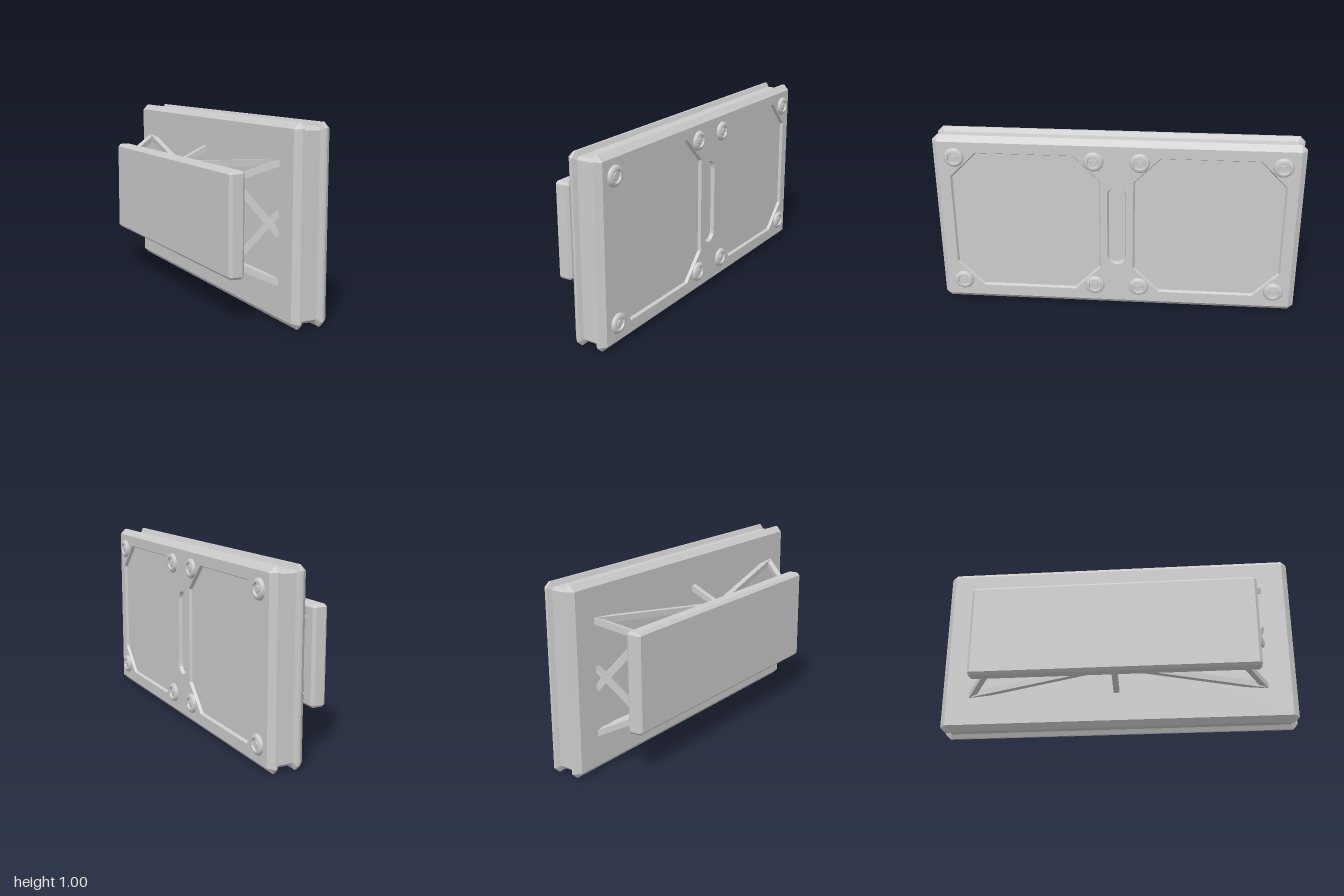
import * as THREE from 'three';
import { toCreasedNormals } from 'three/addons/utils/BufferGeometryUtils.js';

const material = new THREE.MeshStandardMaterial({ color: 0xcccccc });

// Everything is built facing local +z, then the assembly is turned to face +x.

// Chamfered rectangle, counter-clockwise
function octagon(hw, hh, cut, cx = 0, cy = 0.5) {
  const a = hw - cut, b = hh - cut;
  return [[-a, -hh], [a, -hh], [hw, -b], [hw, b], [a, hh], [-a, hh], [-hw, b], [-hw, -b]]
    .map(([x, y]) => [cx + x, cy + y]);
}

// Rounded slot, counter-clockwise
function stadium(r, hh, cy = 0.5, n = 10) {
  const pts = [];
  for (let i = 0; i < 2 * n; i++) {
    const top = i < n;
    const t = (top ? i : i - n) / (n - 1) * Math.PI + (top ? 0 : Math.PI);
    pts.push([r * Math.cos(t), cy + (top ? 1 : -1) * (hh - r) + r * Math.sin(t)]);
  }
  return pts;
}

// Joins rings [points, depth] into a faceted skin, with optional end caps
function loft(rings, capStart, capEnd) {
  const out = [];
  const v = ([pts, d], j) => [...pts[j % pts.length], d];
  const n = rings[0][0].length;
  for (let i = 0; i < rings.length - 1; i++) {
    for (let j = 0; j < n; j++) {
      const a = v(rings[i], j), b = v(rings[i], j + 1);
      const c = v(rings[i + 1], j + 1), e = v(rings[i + 1], j);
      out.push(...a, ...b, ...c, ...a, ...c, ...e);
    }
  }
  const fan = (ring, flip) => {
    for (let j = 1; j < n - 1; j++) {
      const p = v(ring, flip ? j + 1 : j), q = v(ring, flip ? j : j + 1);
      out.push(...v(ring, 0), ...p, ...q);
    }
  };
  if (capStart) fan(rings[0], true);
  if (capEnd) fan(rings[rings.length - 1], false);
  const g = new THREE.BufferGeometry();
  g.setAttribute('position', new THREE.Float32BufferAttribute(out, 3));
  g.computeVertexNormals();
  return g;
}

export function createModel() {
  const model = new THREE.Group();
  model.name = 'wallPanel';
  const body = new THREE.Group();
  body.name = 'assembly';
  body.rotation.y = Math.PI / 2;
  model.add(body);

  const add = (name, geometry) => {
    const mesh = new THREE.Mesh(geometry, material);
    mesh.name = name;
    body.add(mesh);
    return mesh;
  };

  // Main slab: two bevelled flanges with a recessed core between them
  const slice = (inset, cut, d) => [octagon(1 - inset, 0.5 - inset, cut), d];
  const face = 0.21;
  add('mainSlab', loft([
    slice(0.03, 0.002, 0.015), slice(0, 0.028, 0.045), slice(0, 0.028, 0.057),
    slice(0.024, 0.015, 0.07), slice(0.024, 0.015, 0.155),
    slice(0, 0.028, 0.168), slice(0, 0.028, 0.18), slice(0.03, 0.002, face),
  ], true, false));

  // Front face, with openings for the pockets
  const pockets = [-1, 1].map((s) => ({
    name: 'recessedPanel', depth: 0.016,
    ring: (inset) => octagon(0.41 - inset, 0.41 - inset, 0.145 - 0.6 * inset, s * 0.5, 0.502),
  }));
  pockets.push({
    name: 'slot', depth: 0.02, ring: (inset) => stadium(0.052 - inset, 0.238 - inset),
  });
  const toVectors = (pts) => pts.map(([x, y]) => new THREE.Vector2(x, y));
  const outline = new THREE.Shape(toVectors(octagon(0.97, 0.47, 0.002)));
  for (const p of pockets) outline.holes.push(new THREE.Path(toVectors(p.ring(0))));
  add('frontFace', new THREE.ShapeGeometry(outline).translate(0, 0, face));
  for (const p of pockets) {
    add(p.name, loft([[p.ring(0), face], [p.ring(0.008), face - p.depth]], false, true));
  }

  // Round bolts with a dished centre and a hexagonal socket
  const profile = [[0, 0.008], [0.03, 0.008], [0.033, 0.018], [0.042, 0.018], [0.05, 0.013],
    [0.054, 0.006], [0.054, -0.003]].map(([r, h]) => new THREE.Vector2(r, h)).reverse();
  const boltGeometry = toCreasedNormals(
    new THREE.LatheGeometry(profile, 28).rotateX(Math.PI / 2), 0.7);
  const socketGeometry = toCreasedNormals(
    new THREE.CylinderGeometry(0.017, 0.019, 0.006, 6).rotateX(Math.PI / 2), 0.3);
  for (const x of [-0.88, -0.124, 0.124, 0.88]) {
    for (const y of [0.125, 0.883]) {
      add('bolt', boltGeometry).position.set(x, y, face);
      add('boltCentre', socketGeometry).position.set(x, y, face + 0.01);
    }
  }

  // Rear mounting plate
  const plate = (inset, cut, d) => [octagon(0.8 - inset, 0.267 - inset, cut, 0, 0.497), d];
  add('rearPlate', loft([
    plate(0.015, 0.002, -0.23), plate(0, 0.014, -0.215),
    plate(0, 0.014, -0.16), plate(0.015, 0.002, -0.145),
  ], true, true));

  // Square struts from the rear plate to the slab
  const strut = (name, x0, y0, x1, y1) => {
    const a = new THREE.Vector3(x0, y0, -0.15), b = new THREE.Vector3(x1, y1, 0.02);
    const mesh = new THREE.Mesh(new THREE.BoxGeometry(0.032, 0.032, a.distanceTo(b) + 0.02), material);
    mesh.name = name;
    mesh.position.copy(a).add(b).multiplyScalar(0.5);
    mesh.lookAt(b);
    body.add(mesh);
  };
  for (const [yRear, ySlab] of [[0.718, 0.797], [0.285, 0.207]]) {
    strut('centreStrut', 0, yRear, 0, ySlab);
    for (const s of [-1, 1]) {
      strut('endStrut', s * 0.7, yRear, s * 0.825, ySlab);
      strut('diagonalStrut', s * 0.01, yRear, s * 0.815, ySlab);
    }
  }
  for (const s of [-1, 1]) {
    strut('crossBrace', s * 0.7, 0.69, s * 0.825, 0.452);
    strut('crossBrace', s * 0.7, 0.308, s * 0.825, 0.55);
  }

  return model;
}
